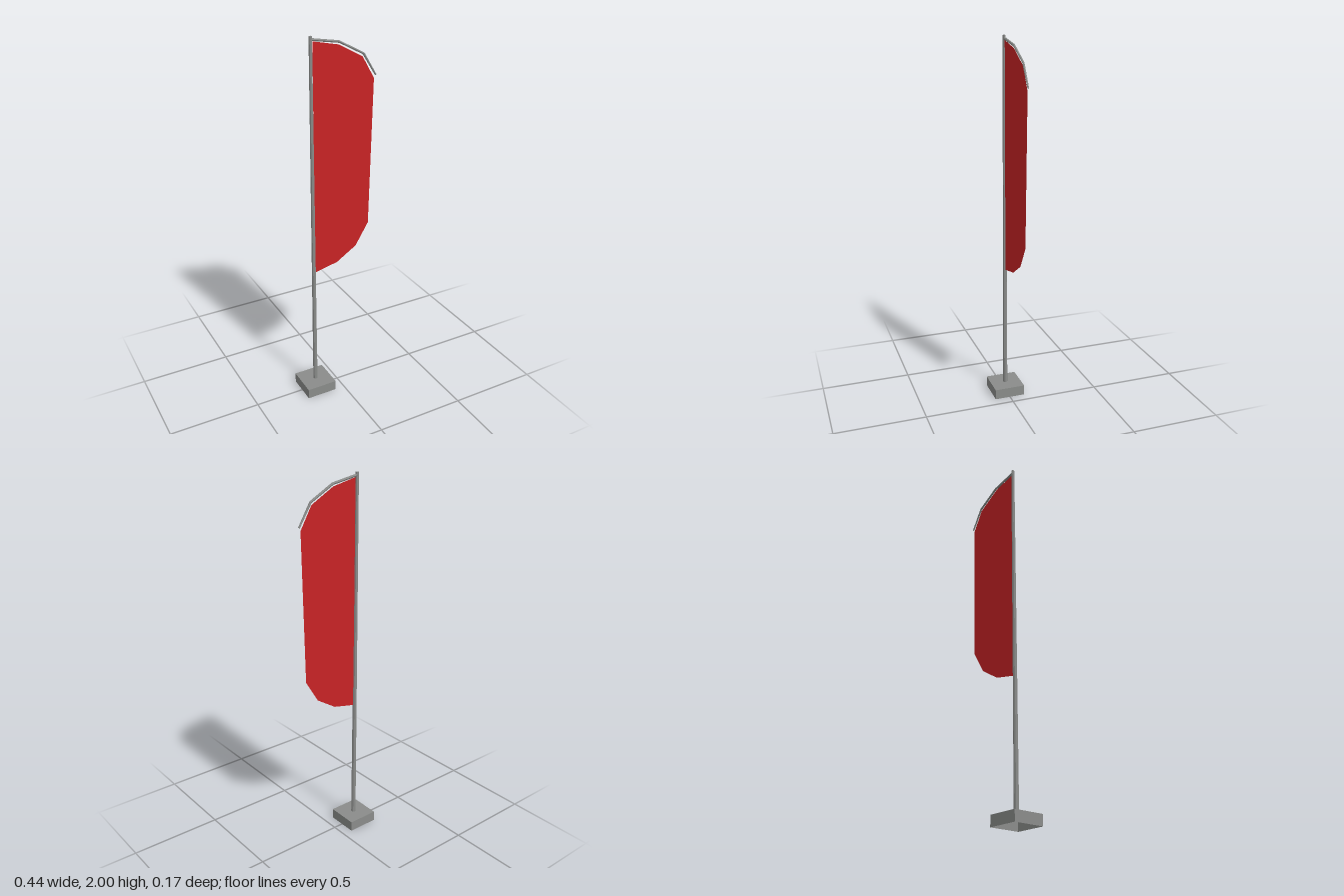
import * as THREE from 'three';

const metal = new THREE.MeshStandardMaterial({ color: 0x8a8c8a, side: THREE.DoubleSide, flatShading: true });
metal.name = 'grey metal';
const cloth = new THREE.MeshStandardMaterial({ color: 0xc82325, side: THREE.DoubleSide });
cloth.name = 'red cloth';

const POLE_X = -0.14, BASE = 0.171, BASE_H = 0.057;

function addMesh(group, name, geometry, material) {
  const mesh = new THREE.Mesh(geometry, material);
  mesh.name = name;
  group.add(mesh);
  return mesh;
}

// Tapered rod through points in the xy plane, mitred at each bend
function bentRod(points, radii, sides) {
  const pts = points.map(p => new THREE.Vector2(...p));
  const last = pts.length - 1;
  const dir = i => pts[i + 1].clone().sub(pts[i]).normalize();
  const geo = new THREE.CylinderGeometry(1, 1, last, sides, last);
  const pos = geo.attributes.position;
  for (let k = 0; k < pos.count; k++) {
    const i = Math.round(pos.getY(k) + last / 2);
    const before = dir(Math.max(i - 1, 0)), after = dir(Math.min(i, last - 1));
    const d = before.clone().add(after).normalize();
    const side = pos.getX(k) * radii[i] / d.dot(after);
    pos.setXYZ(k, pts[i].x + d.y * side, pts[i].y - d.x * side, pos.getZ(k) * radii[i]);
  }
  geo.computeVertexNormals();
  return geo;
}

export function createModel() {
  const model = new THREE.Group();
  model.name = 'featherFlag';

  // Base: hollow box, open underneath
  const box = new THREE.BoxGeometry(BASE, BASE_H, BASE);
  const faces = Array.from(box.index.array);
  faces.splice(18, 6); // drop the bottom face
  box.setIndex(faces);
  box.clearGroups();
  addMesh(model, 'base', box, metal).position.set(POLE_X, BASE_H / 2, 0);

  // Pole: tapered upright
  const poleH = 2 - BASE_H;
  addMesh(model, 'pole', new THREE.CylinderGeometry(0.0085, 0.0125, poleH, 8), metal)
    .position.set(POLE_X, BASE_H + poleH / 2, 0);

  // Arm: bent rod arching over the cloth
  addMesh(model, 'arm', bentRod(
    [[POLE_X, 1.985], [0.012, 1.959], [0.145, 1.888], [0.215, 1.776]],
    [0.007, 0.0065, 0.006, 0.0045], 6), metal);

  // Flag: flat sheet
  const outline = [
    [-0.13, 1.975], [0.008, 1.946], [0.14, 1.874], [0.206, 1.76],
    [0.188, 0.972], [0.114, 0.85], [0, 0.777], [-0.13, 0.748],
  ].map(p => new THREE.Vector2(...p));
  addMesh(model, 'flag', new THREE.ShapeGeometry(new THREE.Shape(outline)), cloth);

  return model;
}
